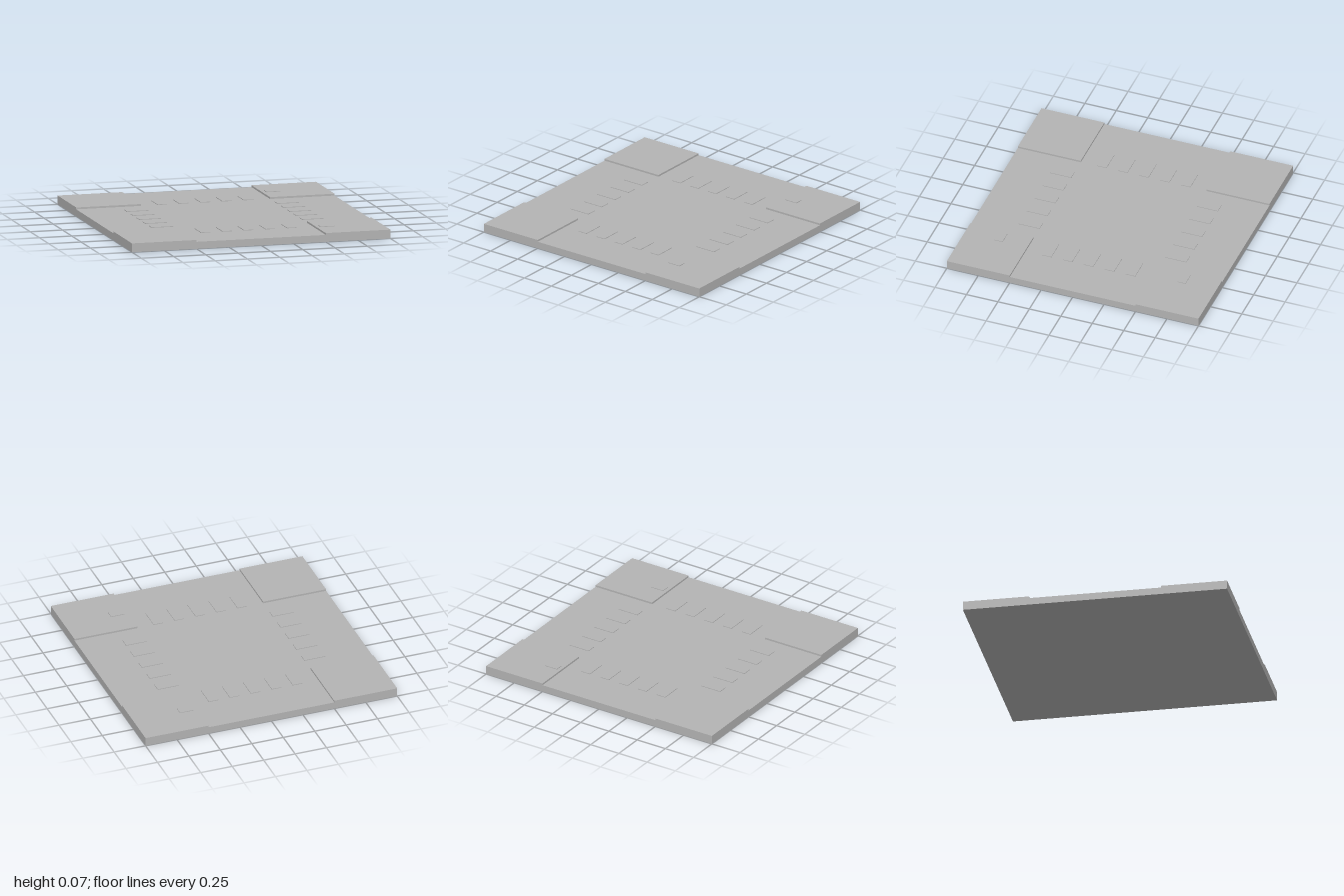
import * as THREE from 'three';

const ROAD_TOP = 0.053, STRIPE_TOP = 0.058, PAVEMENT_TOP = 0.067, DRAIN_TOP = 0.072;

export function createModel() {
  const model = new THREE.Group();
  model.name = 'crossroadTile';
  const grey = new THREE.MeshStandardMaterial({ color: 0xb4b4b4 });
  grey.name = 'grey';

  // Box given by its footprint centre, footprint size and bottom/top heights
  function block(name, x, z, width, depth, bottom, top, parent = model) {
    const mesh = new THREE.Mesh(new THREE.BoxGeometry(width, top - bottom, depth), grey);
    mesh.name = name;
    mesh.position.set(x, (bottom + top) / 2, z);
    parent.add(mesh);
    return mesh;
  }

  // Road slab
  block('roadSlab', 0, 0, 2, 2, 0, ROAD_TOP);

  // Raised pavement in each corner
  for (const sx of [-1, 1]) {
    for (const sz of [-1, 1]) {
      block('pavementCorner', sx * 0.75, sz * 0.75, 0.5, 0.5, ROAD_TOP, PAVEMENT_TOP);
    }
  }

  // Small raised covers on the two left pavements
  for (const sz of [-1, 1]) {
    block('pavementCover', 0.582, sz * 0.727, 0.107, 0.065, PAVEMENT_TOP, DRAIN_TOP);
  }

  // A five-stripe crossing on each arm of the junction
  for (let side = 0; side < 4; side++) {
    const crossing = new THREE.Group();
    crossing.name = 'crossing';
    crossing.rotation.y = side * Math.PI / 2;
    for (let i = -2; i <= 2; i++) {
      block('crossingStripe', i / 6, 0.583, 0.075, 0.167, ROAD_TOP, STRIPE_TOP, crossing);
    }
    model.add(crossing);
  }

  return model;
}
